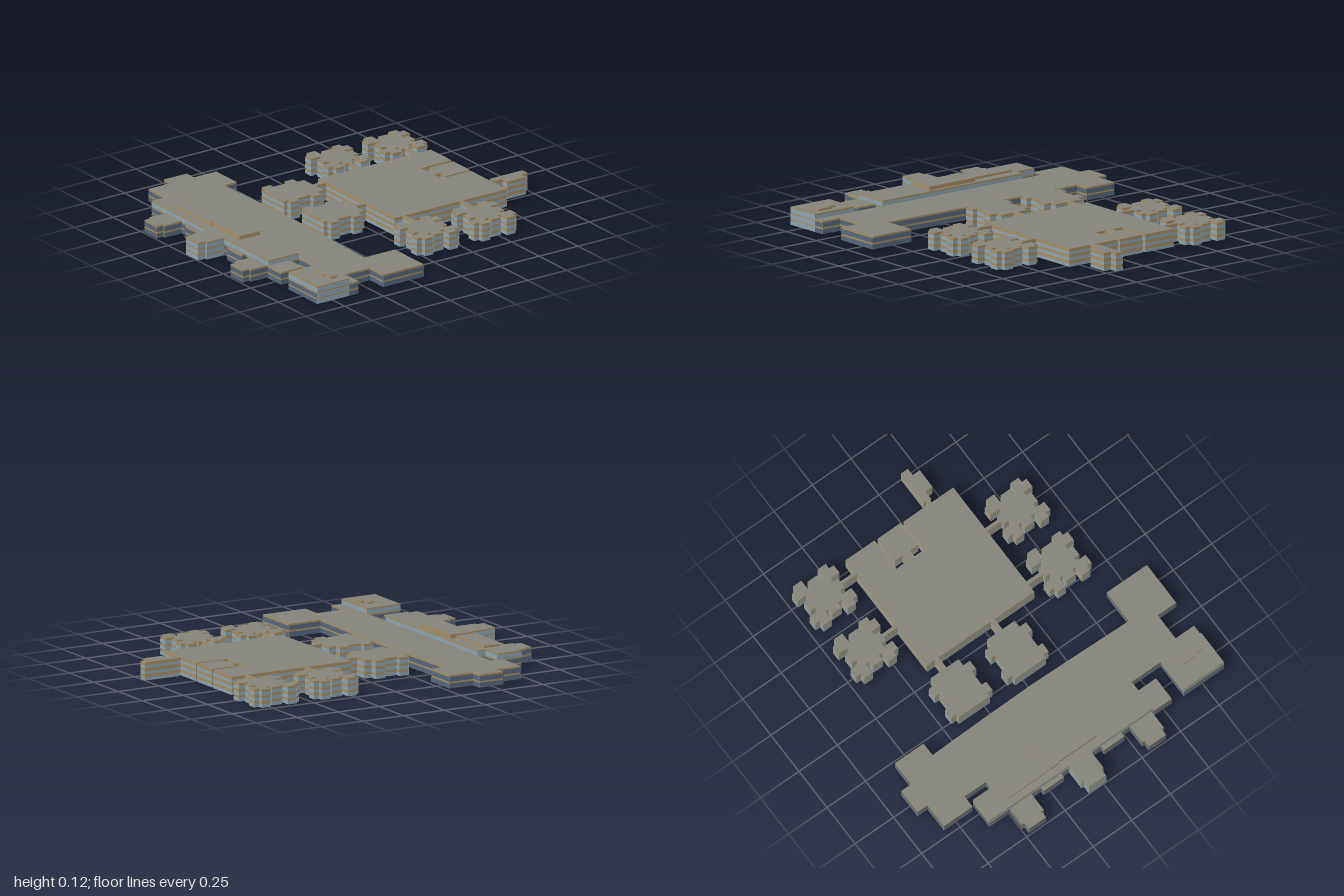
import * as THREE from 'three';

const mat = (name, color) => {
  const m = new THREE.MeshStandardMaterial({ color, side: THREE.DoubleSide });
  m.name = name;
  return m;
};

export function createModel() {
  const roofMat = mat('roof grey', 0x85847b);
  const wallMat = mat('wall tan', 0xa68d62);
  const dark = mat('dark glass', 0x56677c);
  const light = mat('light glass', 0x8ea4b2);
  const LOW = 0.07, HIGH = 0.098;
  const model = new THREE.Group();
  model.name = 'buildingComplex';

  // Open vertical band that follows a closed outline, pushed outwards by off
  function band(pts, y0, y1, off = 0) {
    const pos = [];
    pts.forEach((a, i) => {
      const b = pts[(i + 1) % pts.length];
      const d = b.clone().sub(a).normalize();
      const ox = d.y * off, oz = d.x * off;
      const p = [[a, y0], [b, y0], [b, y1], [a, y0], [b, y1], [a, y1]];
      for (const [v, y] of p) pos.push(v.x + ox, y, -v.y + oz);
    });
    const g = new THREE.BufferGeometry();
    g.setAttribute('position', new THREE.Float32BufferAttribute(pos, 3));
    g.computeVertexNormals();
    return g;
  }

  // Hollow block: tan walls, flat roof and one strip of glass per floor
  function building(name, outline, h, floors, ratio = 0.72, y0 = 0) {
    let pts = outline.map(([x, z]) => new THREE.Vector2(x, -z));
    if (THREE.ShapeUtils.area(pts) < 0) pts = pts.reverse();
    const group = new THREE.Group();
    group.name = name;
    const add = (part, geo, m) => {
      const mesh = new THREE.Mesh(geo, m);
      mesh.name = part;
      group.add(mesh);
    };
    add('walls', band(pts, y0, h), wallMat);
    const roof = new THREE.ShapeGeometry(new THREE.Shape(pts));
    roof.rotateX(-Math.PI / 2).translate(0, h, 0);
    add('roof', roof, roofMat);
    const step = (h - y0) / floors.length;
    floors.forEach((m, i) => {
      const s = y0 + i * step + 0.001;
      add('windowBand', band(pts, s, s + step * ratio, 0.0015), m);
    });
    model.add(group);
  }
  const rect = (x0, x1, z0, z1) => [[x0, z0], [x1, z0], [x1, z1], [x0, z1]];
  const two = [dark, dark], three = [light, light, light], mixed = [dark, dark, light];

  // Long low bar with end wings and a slightly bowed back
  building('longBar', [
    [-0.83, 0.28], [-0.645, 0.28], [-0.645, 0.36], [-0.3, 0.352], [0, 0.348], [0.3, 0.354],
    [0.63, 0.362], [0.63, 0.165], [0.89, 0.165], [0.89, 0.425], [0.77, 0.425], [0.77, 0.585],
    [0.89, 0.585], [0.89, 0.645], [-0.645, 0.645], [-0.645, 0.715], [-0.83, 0.715],
    [-0.83, 0.57], [-0.895, 0.57], [-0.895, 0.425], [-0.83, 0.425],
  ], LOW, two);

  // Taller front range and corner block
  building('frontRange', [
    [-0.505, 0.645], [0.435, 0.645], [0.435, 0.84], [-0.625, 0.84], [-0.625, 0.695], [-0.505, 0.695],
  ], HIGH, mixed);
  building('cornerBlock', rect(0.63, 0.89, 0.645, 0.85), HIGH, mixed);
  for (let i = 0; i < 3; i++) {
    const pane = new THREE.Mesh(new THREE.BoxGeometry(0.002, 0.024, 0.205), light);
    pane.name = 'cornerSideWindow';
    pane.position.set(0.8915, 0.013 + i * 0.0327, 0.7475);
    model.add(pane);
  }
  building('frontAnnex', rect(0.435, 0.555, 0.705, 0.845), LOW, two);

  // Stepped bays and shallow bays along the front
  const bay = (name, x, z, h, floors) => building(name, [
    [x - 0.07, 0.84], [x + 0.07, 0.84], [x + 0.07, 0.95], [x + 0.055, 0.95], [x + 0.055, z],
    [x - 0.055, z], [x - 0.055, 0.95], [x - 0.07, 0.95],
  ], h, floors);
  bay('leftFrontBay', 0.357, 0.99, LOW, two);
  bay('rightFrontBay', -0.423, 0.99, LOW, two);
  bay('centreBay', -0.037, 0.997, HIGH, three);
  building('shallowBay', rect(-0.29, -0.16, 0.84, 0.865), LOW, two);
  building('shallowBay', rect(0.1, 0.23, 0.84, 0.868), LOW, two);

  // Rooftop plant rooms
  building('roofPlant', rect(-0.48, -0.2, 0.7, 0.8), 0.11, [], 0, HIGH);
  building('roofPlant', [
    [-0.2, 0.662], [0.105, 0.662], [0.105, 0.793], [-0.14, 0.793], [-0.14, 0.8], [-0.2, 0.8],
  ], 0.119, [], 0, HIGH);
  building('cornerRoofPlant', [
    [0.71, 0.7], [0.75, 0.7], [0.75, 0.68], [0.84, 0.68], [0.84, 0.728], [0.79, 0.728],
    [0.79, 0.738], [0.71, 0.738],
  ], 0.109, [], 0, HIGH);

  // Large square hall with a notch that holds a small room on a neck
  building('squareHall', [
    [-0.378, -0.78], [-0.19, -0.78], [-0.19, -0.585], [-0.12, -0.585], [-0.12, -0.625],
    [-0.17, -0.625], [-0.17, -0.778], [-0.02, -0.778], [-0.02, -0.625], [-0.073, -0.625],
    [-0.073, -0.585], [-0.005, -0.585], [-0.005, -0.775], [0.318, -0.775], [0.318, -0.053], [-0.378, -0.053],
  ], HIGH, three, 0.5);

  // Rear annex
  building('rearAnnex', [
    [0.143, -1], [0.187, -1], [0.187, -0.957], [0.232, -0.957], [0.232, -0.842],
    [0.187, -0.842], [0.187, -0.795], [0.143, -0.795],
  ], HIGH, three, 0.5);

  // Toothed side pavilions: one side of the outline turned four times
  const side = [
    [-0.105, 0.105], [-0.105, 0.135], [-0.053, 0.135], [-0.053, 0.078], [-0.03, 0.078], [-0.03, 0.11],
    [0.03, 0.11], [0.03, 0.078], [0.053, 0.078], [0.053, 0.135], [0.105, 0.135],
  ];
  for (const [cx, cz] of [[-0.58, -0.69], [-0.58, -0.325], [0.522, -0.483], [0.522, -0.115]]) {
    const pts = [];
    for (let k = 0; k < 4; k++) {
      const c = Math.round(Math.cos(k * Math.PI / 2)), s = Math.round(Math.sin(k * Math.PI / 2));
      for (const [u, v] of side) pts.push([cx + u * c + v * s, cz - u * s + v * c]);
    }
    building('sidePavilion', pts, HIGH, three, 0.6);
    const link = cx < 0 ? [-0.47, -0.378] : [0.318, 0.412];
    building('sideLink', rect(...link, cz - 0.01, cz + 0.01), HIGH, three, 0.5);
  }

  // Front pavilions: half outline, mirrored
  const half = [
    [0.09, -0.132], [0.09, -0.09], [0.133, -0.09], [0.133, -0.035], [0.105, -0.035], [0.105, 0.055],
    [0.133, 0.055], [0.133, 0.11], [0.1, 0.11], [0.1, 0.132],
  ];
  for (const [cx, lx] of [[-0.315, -0.315], [0.05, 0.048]]) {
    const outline = [...half, ...half.map(([x, z]) => [-x, z]).reverse()];
    building('frontPavilion', outline.map(([x, z]) => [cx + x, 0.148 + z]), HIGH, three, 0.6);
    building('frontLink', rect(lx - 0.012, lx + 0.012, -0.053, 0.016), HIGH, three, 0.5);
  }
  building('rearLink', rect(0.155, 0.177, -0.795, -0.775), HIGH, three, 0.5);

  return model;
}
